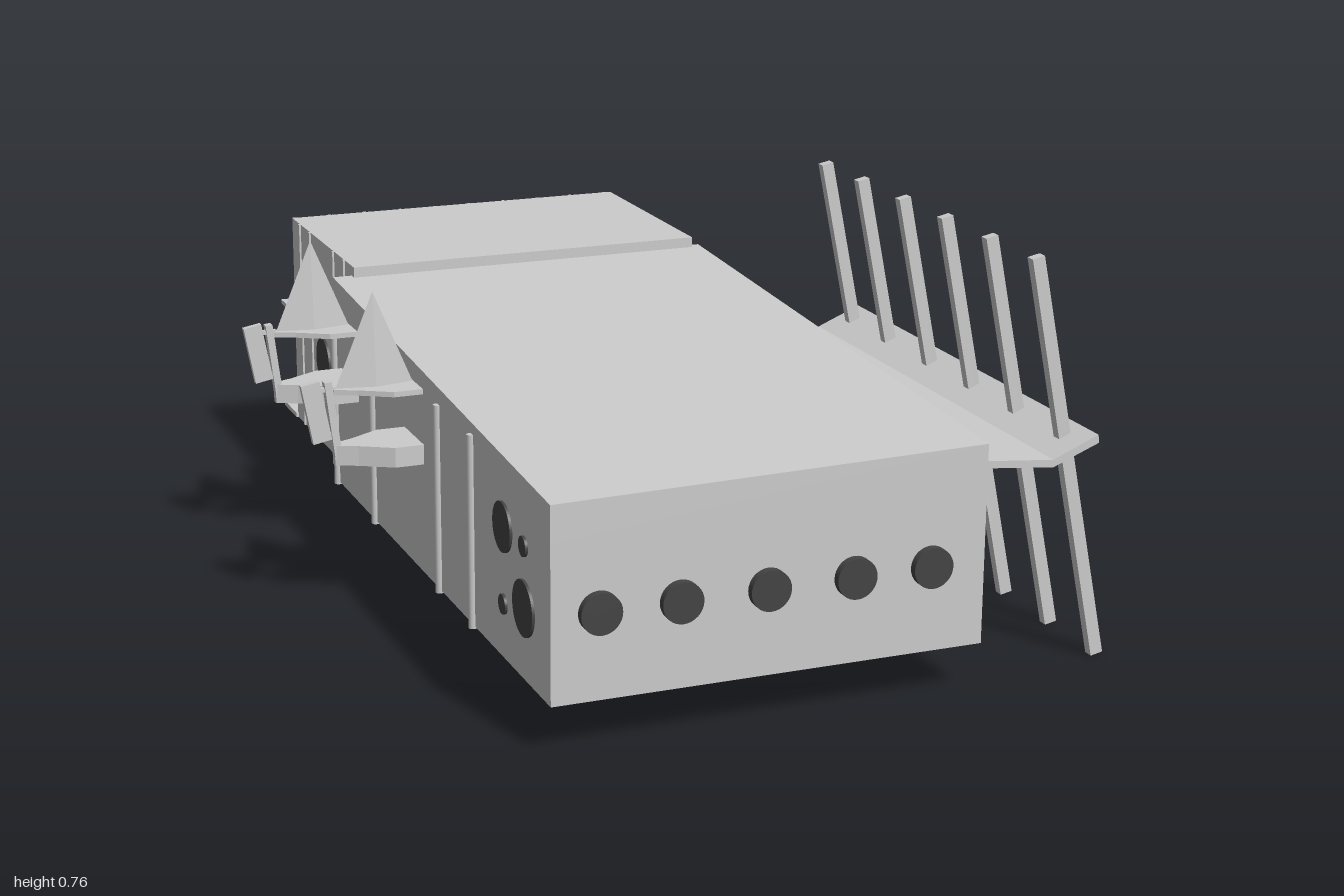
import * as THREE from 'three';

const grey = new THREE.MeshStandardMaterial({ color: 0xcccccc, flatShading: true, side: THREE.DoubleSide });
const smooth = new THREE.MeshStandardMaterial({ color: 0xcccccc });
const dark = new THREE.MeshStandardMaterial({ color: 0x444444 });

function add(parent, name, geometry, position = [0, 0, 0], material = grey) {
  const mesh = new THREE.Mesh(geometry, material);
  mesh.name = name;
  mesh.position.set(...position);
  parent.add(mesh);
  return mesh;
}

// Box given by its lower and upper corners
function block(parent, name, a, b) {
  const size = b.map((v, i) => v - a[i]);
  return add(parent, name, new THREE.BoxGeometry(...size), a.map((v, i) => v + size[i] / 2));
}

function polygon(points) {
  return new THREE.Shape(points.map(([x, y]) => new THREE.Vector2(x, y)));
}

// Floor plan of [x, z] points raised from y0 to y1
function plan(parent, name, points, y0, y1) {
  const g = new THREE.ExtrudeGeometry(polygon(points.map(([x, z]) => [x, -z])), { depth: y1 - y0, bevelEnabled: false });
  g.rotateX(-Math.PI / 2);
  return add(parent, name, g, [0, y0, 0]);
}

// Straight bar in the xy plane between two points
function bar(parent, name, [x0, y0], [x1, y1], width, depth, z) {
  const g = new THREE.BoxGeometry(width, Math.hypot(x1 - x0, y1 - y0), depth);
  const mesh = add(parent, name, g, [(x0 + x1) / 2, (y0 + y1) / 2, z]);
  mesh.rotation.z = Math.atan2(x0 - x1, y1 - y0);
  return mesh;
}

// Thin round window on a wall facing along the x or z axis
function roundWindow(parent, radius, position, axis) {
  const g = new THREE.CylinderGeometry(radius, radius, 0.02, 32);
  if (axis === 'x') g.rotateZ(Math.PI / 2);
  else g.rotateX(Math.PI / 2);
  add(parent, 'roundWindow', g, position, dark);
}

function hall(group) {
  // Lower walls with the entrance recess on the left side
  plan(group, 'hallLowerWalls', [
    [-0.44, 0.985], [0.36, 0.985], [0.36, 0.67], [0.26, 0.67],
    [0.26, 0.2], [0.36, 0.2], [0.36, -0.285], [-0.44, -0.285],
  ], 0.09, 0.375);

  // Upper walls with a sloping roof
  const upper = block(group, 'hallUpperWalls', [-0.44, 0.375, -0.285], [0.36, 0.52, 0.985]);
  const p = upper.geometry.attributes.position;
  for (let i = 0; i < p.count; i++) {
    if (p.getY(i) > 0 && p.getZ(i) > 0) p.setY(i, p.getY(i) - (p.getX(i) > 0 ? 0.065 : 0.078));
  }
  upper.geometry.computeVertexNormals();

  for (const x of [-0.355, -0.21, -0.05, 0.11, 0.255]) roundWindow(group, 0.037, [x, 0.247, 0.99], 'z');
  for (const z of [0.835, -0.02]) roundWindow(group, 0.09, [0.355, 0.235, z], 'x');
  for (const [z, y, r] of [[0.755, 0.33, 0.045], [0.86, 0.33, 0.018], [0.755, 0.19, 0.018], [0.86, 0.22, 0.05]]) {
    roundWindow(group, r, [-0.435, y, z], 'x');
  }
  // Slim wall columns
  for (const z of [-0.275, -0.01, 0.4, 0.59]) {
    add(group, 'wallColumn', new THREE.CylinderGeometry(0.008, 0.008, 0.36, 10), [-0.442, 0.266, z], smooth);
  }
}

function sideCanopy(group) {
  const profile = polygon([
    [0.355, 0.405], [0.5, 0.39], [0.59, 0.425], [0.588, 0.44], [0.5, 0.404], [0.355, 0.418],
  ]);
  add(group, 'sideCanopy', new THREE.ExtrudeGeometry(profile, { depth: 0.945, bevelEnabled: false }), [0, 0, 0.02]);
  for (const z of [0.902, 0.738, 0.57, 0.402, 0.227, 0.067]) {
    bar(group, 'leaningPole', [0.641, 0.002], [0.484, 0.755], 0.024, 0.019, z);
  }
}

function orielWindow(group, z) {
  const oriel = new THREE.Group();
  oriel.name = 'orielWindow';
  oriel.position.z = z;
  group.add(oriel);
  const outline = [[-0.435, 0.06], [-0.435, -0.06], [-0.495, -0.06], [-0.555, -0.025], [-0.595, -0.008],
    [-0.595, 0.008], [-0.555, 0.025], [-0.495, 0.06]];
  plan(oriel, 'orielBase', outline, 0.305, 0.343);
  plan(oriel, 'orielTop', outline, 0.44, 0.45);
  // Pointed hood, thin front to back
  const hood = add(oriel, 'pointedHood', new THREE.ConeGeometry(0.074, 0.178, 4), [-0.515, 0.538, 0]);
  hood.scale.z = 0.2;
  bar(oriel, 'orielStrut', [-0.587, 0.315], [-0.605, 0.465], 0.014, 0.018, 0);
  bar(oriel, 'orielShutter', [-0.617, 0.352], [-0.638, 0.465], 0.036, 0.014, 0);
  for (const y of [0.365, 0.45]) bar(oriel, 'shutterArm', [-0.59, y], [-0.63, y], 0.008, 0.01, 0);
}

function rearBlock(group) {
  block(group, 'rearBlock', [-0.4, 0.09, -0.745], [0.34, 0.54, -0.27]);
  block(group, 'sidePanel', [0.33, 0.1, -0.728], [0.354, 0.285, -0.312]);
  // Long rounded window
  const slot = add(group, 'slotWindow', new THREE.CapsuleGeometry(0.015, 0.25, 6, 12), [0.34, 0.385, -0.505], smooth);
  slot.rotation.x = Math.PI / 2;
  for (const y of [0.42, 0.28]) roundWindow(group, 0.05, [-0.395, y, -0.51], 'x');

  // Vertical boards on the rear and right walls
  for (let i = 0; i < 10; i++) {
    const x = -0.396 + i * 0.08;
    block(group, 'rearBoardStrip', [x - 0.003, 0.09, -0.749], [x + 0.003, 0.54, -0.744]);
  }
  for (const z of [-0.68, -0.6, -0.42, -0.34]) {
    block(group, 'sideBoardStrip', [-0.404, 0.09, z - 0.004], [-0.399, 0.54, z + 0.004]);
  }
  block(group, 'rearLedge', [-0.41, 0.33, -0.825], [0.09, 0.339, -0.74]);

  // Balcony with a low railing
  block(group, 'balconyDeck', [-0.405, 0.09, -0.84], [0.13, 0.1, -0.74]);
  block(group, 'balconyRail', [-0.405, 0.126, -0.84], [0.1, 0.132, -0.832]);
  block(group, 'balconySideRail', [-0.405, 0.126, -0.84], [-0.398, 0.132, -0.745]);
  for (let i = 0; i <= 12; i++) {
    const x = -0.401 + i * 0.0415;
    block(group, 'railPost', [x - 0.003, 0.1, -0.839], [x + 0.003, i === 12 ? 0.17 : 0.128, -0.833]);
  }
}

function porch(group) {
  // Round platform with steps falling away to the rear
  add(group, 'porchPlatform', new THREE.CylinderGeometry(0.117, 0.117, 0.055, 40), [0.21, 0.0975, -0.808]);
  for (const [z, y] of [[-0.845, 0.116], [-0.87, 0.105], [-0.9, 0.094]]) {
    add(group, 'roundStep', new THREE.CylinderGeometry(0.1, 0.1, 0.012, 40), [0.21, y, z]);
  }
  const roof = add(group, 'porchRoof', new THREE.BoxGeometry(0.2, 0.011, 0.238), [0.232, 0.385, -0.857]);
  roof.rotation.x = 0.26;
  add(group, 'porchPost', new THREE.CylinderGeometry(0.017, 0.017, 0.385, 20), [0.14, 0.308, -0.882], smooth);
}

export function createModel() {
  const group = new THREE.Group();
  group.name = 'building';
  hall(group);
  sideCanopy(group);
  for (const z of [-0.175, 0.25]) orielWindow(group, z);
  rearBlock(group);
  porch(group);
  return group;
}
